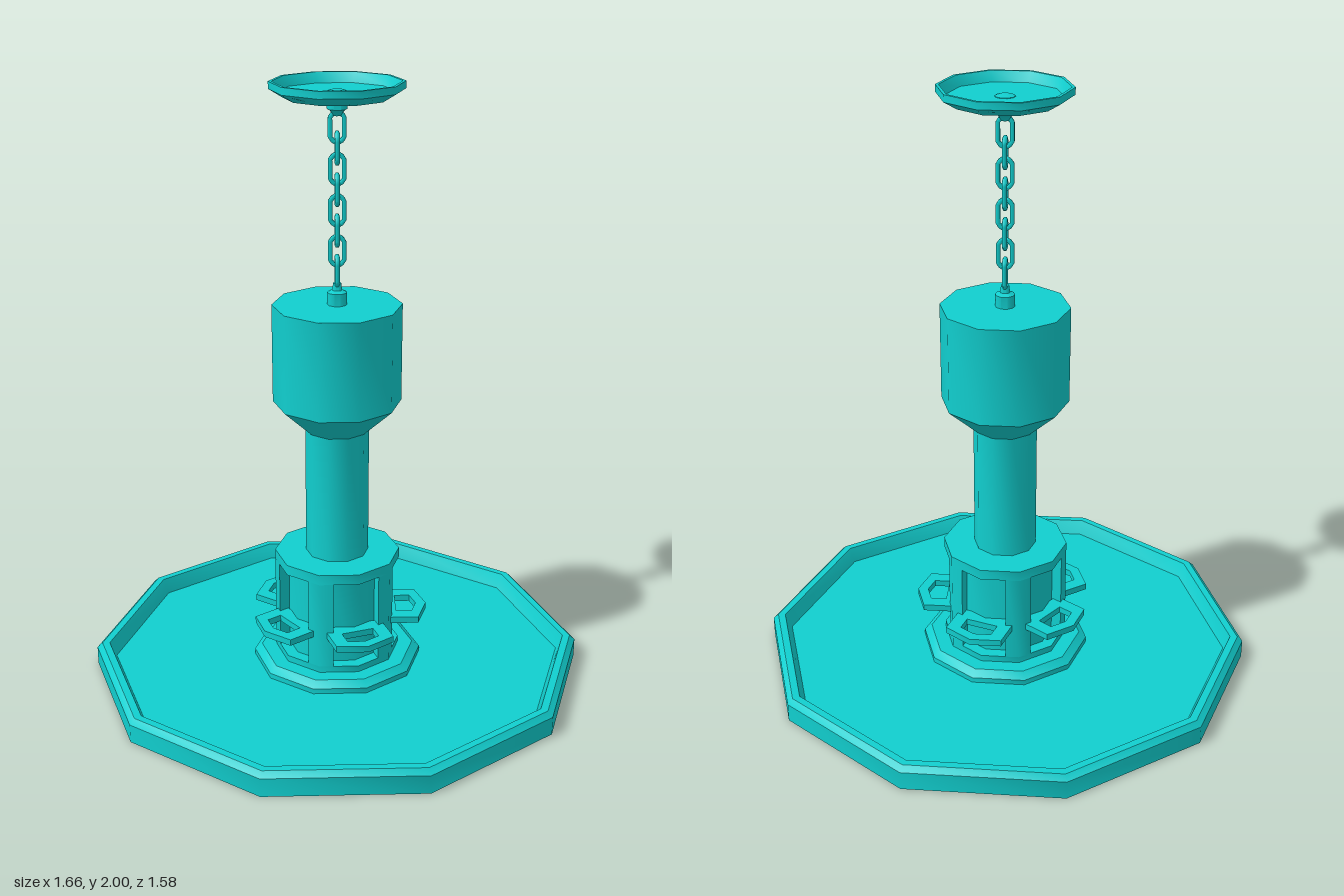
import * as THREE from 'three';
import { toCreasedNormals } from 'three/addons/utils/BufferGeometryUtils.js';

const SIDES = 10;
const material = new THREE.MeshStandardMaterial({ color: 0x11cfcf });

export function createModel() {
  const model = new THREE.Group();

  const add = (name, geometry, parent = model) => {
    const mesh = new THREE.Mesh(geometry, material);
    mesh.name = name;
    parent.add(mesh);
    return mesh;
  };

  // Ten-sided turned part, profile listed from the bottom up the outside
  const turned = (name, profile) => {
    const points = profile.map(([r, y]) => new THREE.Vector2(r, y));
    return add(name, toCreasedNormals(new THREE.LatheGeometry(points, SIDES, Math.PI / 2), 0.68));
  };

  // Flat plan outline raised from y0 to y1
  const raised = (shape, y0, y1) => {
    const g = new THREE.ExtrudeGeometry(shape, { depth: y1 - y0, bevelEnabled: false });
    g.rotateX(-Math.PI / 2).translate(0, y0, 0);
    return toCreasedNormals(g, 0.68);
  };

  // Broad tray with raised rim
  turned('tray', [[0, 0], [0.83, 0], [0.83, 0.063], [0.812, 0.08], [0.787, 0.08], [0.765, 0.03], [0, 0.03]]);
  turned('trayHub', [[0.285, 0.03], [0.285, 0.048], [0.26, 0.068], [0, 0.068]]);

  // Lower drum: two collars around a body with five tall niches
  turned('lowerCollar', [[0.21, 0.06], [0.21, 0.09], [0, 0.09]]);
  turned('upperCollar', [[0, 0.395], [0.21, 0.395], [0.21, 0.43], [0, 0.43]]);
  const outline = [];
  for (let k = 0; k < 5; k++) {
    const a = (k * Math.PI * 2) / 5;
    const local = [[0.184, -0.08], [0.144, -0.08], [0.17, 0], [0.144, 0.08], [0.184, 0.08]];
    local.forEach(([r, t]) => outline.push(new THREE.Vector2(r, t).rotateAround(new THREE.Vector2(), a)));
    outline.push(new THREE.Vector2(0.21, 0).rotateAround(new THREE.Vector2(), a + Math.PI / 5));
  }
  add('nichedDrum', raised(new THREE.Shape(outline), 0.09, 0.395));

  // Five pierced holders, one at each niche
  const toPoints = (list) => list.map(([x, y]) => new THREE.Vector2(x, y));
  const holderShape = new THREE.Shape(toPoints([[0.15, -0.1], [0.272, -0.1], [0.305, 0], [0.272, 0.1], [0.15, 0.1]]));
  holderShape.holes.push(new THREE.Path(toPoints([[0.2, -0.055], [0.2, 0.055], [0.252, 0.055], [0.27, 0], [0.252, -0.055]])));
  const holderGeometry = raised(holderShape, 0.195, 0.217);
  const holders = new THREE.Group();
  holders.name = 'holders';
  for (let k = 0; k < 5; k++) add('holder', holderGeometry, holders).rotation.y = (k * Math.PI * 2) / 5;
  model.add(holders);

  // Column flaring into the head
  turned('column', [[0.105, 0.43], [0.105, 0.87]]);
  turned('head', [[0, 0.87], [0.105, 0.87], [0.21, 0.967], [0.21, 1.295], [0, 1.295]]);

  // Ceiling dish, open at the top
  turned('ceilingDish', [[0, 1.95], [0.165, 1.95], [0.21, 1.977], [0.21, 2], [0.2, 2], [0.182, 1.968], [0, 1.968]]);

  // Chain fittings
  turned('lowerFitting', [[0.032, 1.295], [0.032, 1.335], [0.016, 1.342], [0.013, 1.365], [0, 1.365]]);
  turned('upperFitting', [[0, 1.895], [0.013, 1.895], [0.022, 1.91], [0.032, 1.916], [0.032, 1.97], [0.02, 1.974], [0, 1.974]]);

  // Chain of eight-cornered links, alternately turned
  const linkPath = new THREE.CurvePath();
  const corners = [[0.022, -0.03], [0.022, 0.03], [0.01, 0.046], [-0.01, 0.046],
    [-0.022, 0.03], [-0.022, -0.03], [-0.01, -0.046], [0.01, -0.046]];
  corners.forEach(([x, y], i) => {
    const [nx, ny] = corners[(i + 1) % corners.length];
    linkPath.add(new THREE.LineCurve3(new THREE.Vector3(x, y, 0), new THREE.Vector3(nx, ny, 0)));
  });
  const linkGeometry = new THREE.TubeGeometry(linkPath, 32, 0.008, 6, true);
  const chain = new THREE.Group();
  chain.name = 'chain';
  for (let i = 0; i < 8; i++) {
    const link = add('chainLink', linkGeometry, chain);
    link.position.y = 1.86 - i * 0.065;
    link.rotation.y = (i % 2) * Math.PI / 2;
  }
  model.add(chain);

  return model;
}
